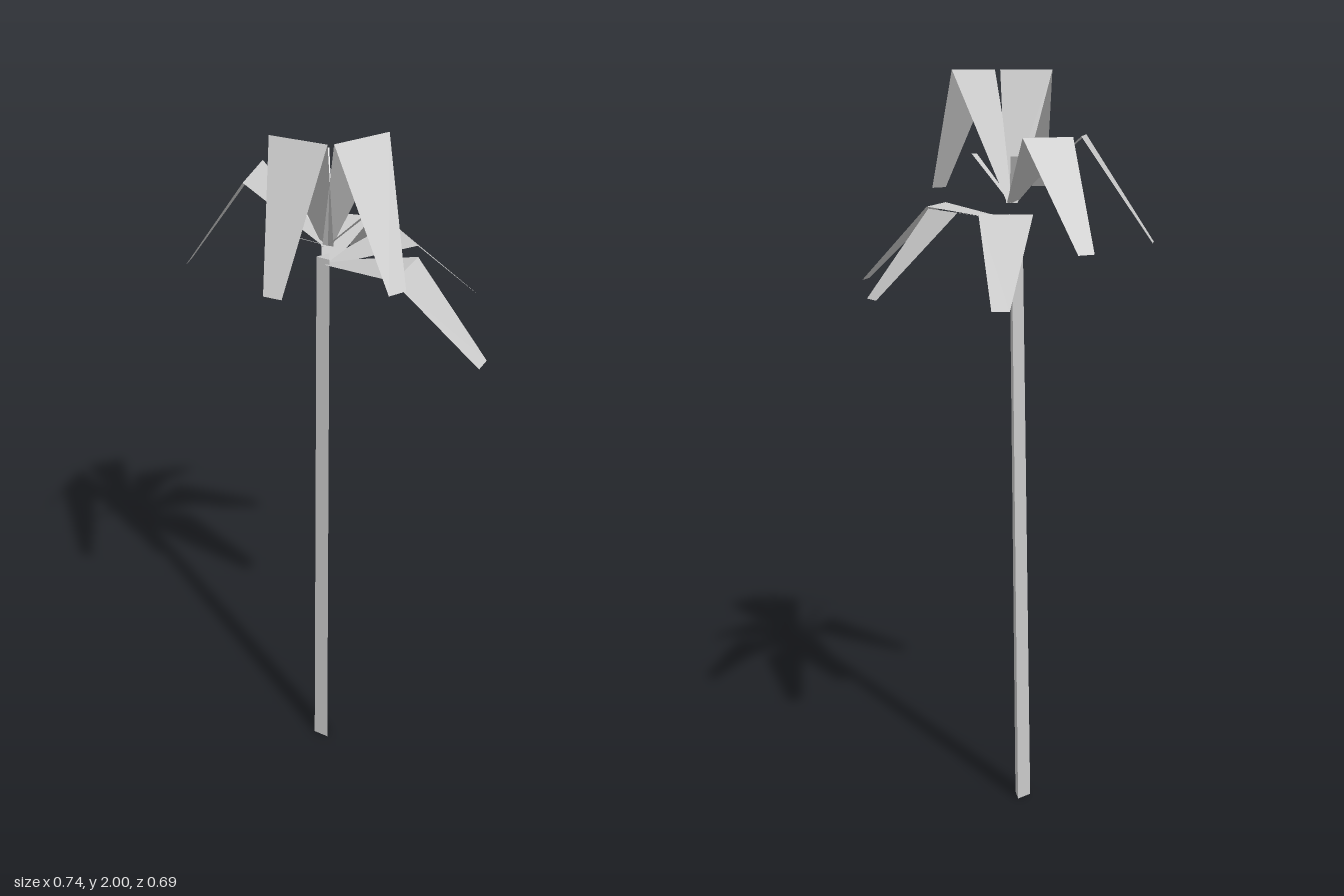
import * as THREE from 'three';

export function createModel() {
  const model = new THREE.Group();
  const grey = new THREE.MeshStandardMaterial({ color: 0xc8c8c8, flatShading: true, side: THREE.DoubleSide });
  grey.name = 'pale grey';

  // Crown point where every frond starts
  const cx = -0.037, cz = 0.042;

  // Flat ribbon through a list of [left, right] edges, each point [x, y, z]
  function ribbon(name, edges) {
    const index = [];
    for (let i = 0; i < edges.length - 1; i++) {
      const a = 2 * i;
      index.push(a, a + 1, a + 3, a, a + 3, a + 2);
    }
    const geometry = new THREE.BufferGeometry();
    geometry.setAttribute('position', new THREE.Float32BufferAttribute(edges.flat(2), 3));
    geometry.setIndex(index);
    const flat = geometry.toNonIndexed();
    flat.computeVertexNormals();
    const mesh = new THREE.Mesh(flat, grey);
    mesh.name = name;
    model.add(mesh);
  }

  // Narrow starting edge at the crown, square to the direction of travel
  function rootEdge(y, tx, tz, width) {
    const l = Math.hypot(tx - cx, tz - cz);
    const px = (tz - cz) / l * width / 2, pz = -(tx - cx) / l * width / 2;
    return [[cx + px, y, cz + pz], [cx - px, y, cz - pz]];
  }

  // Three-sided leaning trunk
  const height = 1.64;
  const trunkGeometry = new THREE.CylinderGeometry(0.021, 0.026, height, 3, 1, false, -Math.PI / 4);
  const p = trunkGeometry.attributes.position;
  for (let i = 0; i < p.count; i++) {
    const t = p.getY(i) / height + 0.5;
    p.setXYZ(i, p.getX(i) - 0.072 + 0.029 * t, t * height, p.getZ(i) + 0.05 - 0.005 * t);
  }
  trunkGeometry.computeVertexNormals();
  const trunk = new THREE.Mesh(trunkGeometry, grey);
  trunk.name = 'trunk';
  model.add(trunk);

  // Fronds: root, knee and tip heights, then knee and tip edges as x, z pairs
  const high = [1.67, 2.0, 1.69], middle = [1.67, 1.84, 1.575], low = [1.625, 1.66, 1.455];
  const fronds = [
    [high, [0.092, 0.167, -0.038, 0.219], [0.107, 0.33, 0.065, 0.347]],
    [high, [0.139, 0.021, 0.101, 0.156], [0.277, 0.108, 0.265, 0.152]],
    [middle, [-0.227, 0.069, -0.163, 0.192], [-0.366, 0.195, -0.347, 0.233]],
    [middle, [-0.166, -0.095, -0.227, 0.033], [-0.353, -0.13, -0.372, -0.088]],
    [low, [-0.085, -0.165, -0.2, -0.097], [-0.235, -0.315, -0.272, -0.293]],
    [low, [0.105, -0.123, -0.026, -0.172], [0.132, -0.333, 0.09, -0.348]],
    [low, [0.187, 0.052, 0.145, -0.08], [0.37, -0.053, 0.357, -0.097]],
  ];
  for (const [[rootY, kneeY, tipY], k, t] of fronds) {
    const root = rootEdge(rootY, (k[0] + k[2]) / 2, (k[1] + k[3]) / 2, 0.03);
    // Keep the root edge on the same hand as the knee edge
    const side = (root[0][0] - root[1][0]) * (k[0] - k[2]) + (root[0][2] - root[1][2]) * (k[1] - k[3]);
    if (side < 0) root.reverse();
    ribbon('frond', [
      root,
      [[k[0], kneeY, k[1]], [k[2], kneeY, k[3]]],
      [[t[0], tipY, t[1]], [t[2], tipY, t[3]]],
    ]);
  }

  // Young shoots in the heart of the crown
  for (const [x, y, z] of [[-0.018, 1.785, 0.24], [-0.075, 1.79, 0.0], [0.09, 1.79, 0.05]]) {
    const root = rootEdge(1.67, x, z, 0.012);
    const tip = root.map(([rx, , rz]) => [x + (rx - cx) * 1.7, y, z + (rz - cz) * 1.7]);
    ribbon('shoot', [root, tip]);
  }
  return model;
}
